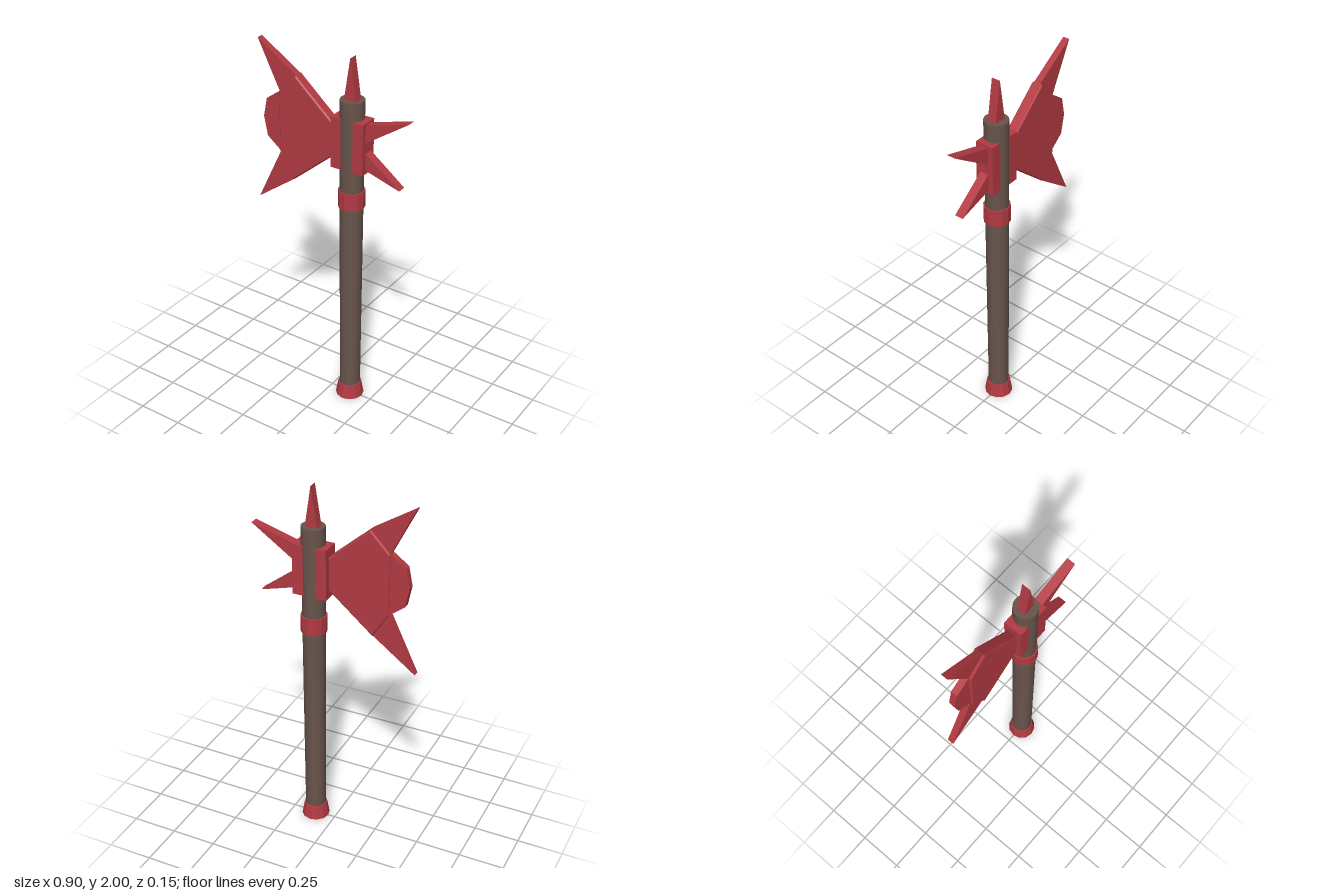
import * as THREE from 'three';

const AXIS = 0.117; // x of the shaft

export function createModel() {
  const group = new THREE.Group();
  const red = new THREE.MeshStandardMaterial({ name: 'red metal', color: 0xb23a42 });
  red.flatShading = true;
  const brown = new THREE.MeshStandardMaterial({ name: 'brown wood', color: 0x67544b });

  const add = (name, geometry, material, x = 0, y = 0) => {
    const mesh = new THREE.Mesh(geometry, material);
    mesh.name = name;
    mesh.position.set(x, y, 0);
    group.add(mesh);
  };
  // Round part standing on the shaft axis
  const round = (name, rTop, rBottom, y0, y1, sides, material) =>
    add(name, new THREE.CylinderGeometry(rTop, rBottom, y1 - y0, sides), material, AXIS, (y0 + y1) / 2);
  // Flat plate cut from an outline, centred on z = 0, with an optional chamfer
  const plate = (name, points, halfDepth, bevel = 0) => {
    const shape = new THREE.Shape(points.map(([x, y]) => new THREE.Vector2(x, y)));
    const depth = 2 * (halfDepth - bevel);
    const geometry = new THREE.ExtrudeGeometry(shape, {
      depth, bevelEnabled: bevel > 0, bevelSize: bevel, bevelThickness: bevel,
      bevelOffset: -bevel, bevelSegments: 1,
    });
    geometry.translate(0, 0, -depth / 2);
    add(name, geometry, red);
  };

  // Shaft with its foot and ring
  round('shaft', 0.0625, 0.056, 0.04, 1.782, 24, brown);
  round('pommel', 0.063, 0.077, 0, 0.08, 12, red);
  round('ring', 0.07, 0.07, 1.192, 1.287, 12, red);

  // Block that holds the head
  add('headBlock', new THREE.BoxGeometry(0.187, 0.277, 0.102), red, AXIS, 1.547);

  // Blade: chamfered body, cutting edge and two horns
  const top = [-0.203, 1.835], topInner = [-0.307, 1.725];
  const bottom = [-0.222, 1.252], bottomInner = [-0.307, 1.39];
  plate('bladeBody', [[0.024, 1.635], top, topInner, bottomInner, bottom, [0.024, 1.46]], 0.03, 0.007);
  plate('cuttingEdge', [[-0.29, 1.725], topInner, [-0.39, 1.665], [-0.411, 1.562], [-0.39, 1.455], bottomInner, [-0.29, 1.39]], 0.018);
  plate('upperHorn', [top, [-0.435, 1.983], topInner], 0.018);
  plate('lowerHorn', [bottomInner, [-0.455, 1.08], bottom], 0.018);

  // Spikes on the back and the top
  plate('upperBackSpike', [[0.2, 1.58], [0.212, 1.58], [0.45, 1.743], [0.212, 1.675], [0.2, 1.67]], 0.024);
  plate('lowerBackSpike', [[0.2, 1.435], [0.212, 1.43], [0.408, 1.373], [0.212, 1.522], [0.2, 1.525]], 0.024);
  plate('topSpike', [[AXIS - 0.035, 1.775], [AXIS + 0.035, 1.775], [AXIS, 2]], 0.024);

  return group;
}
